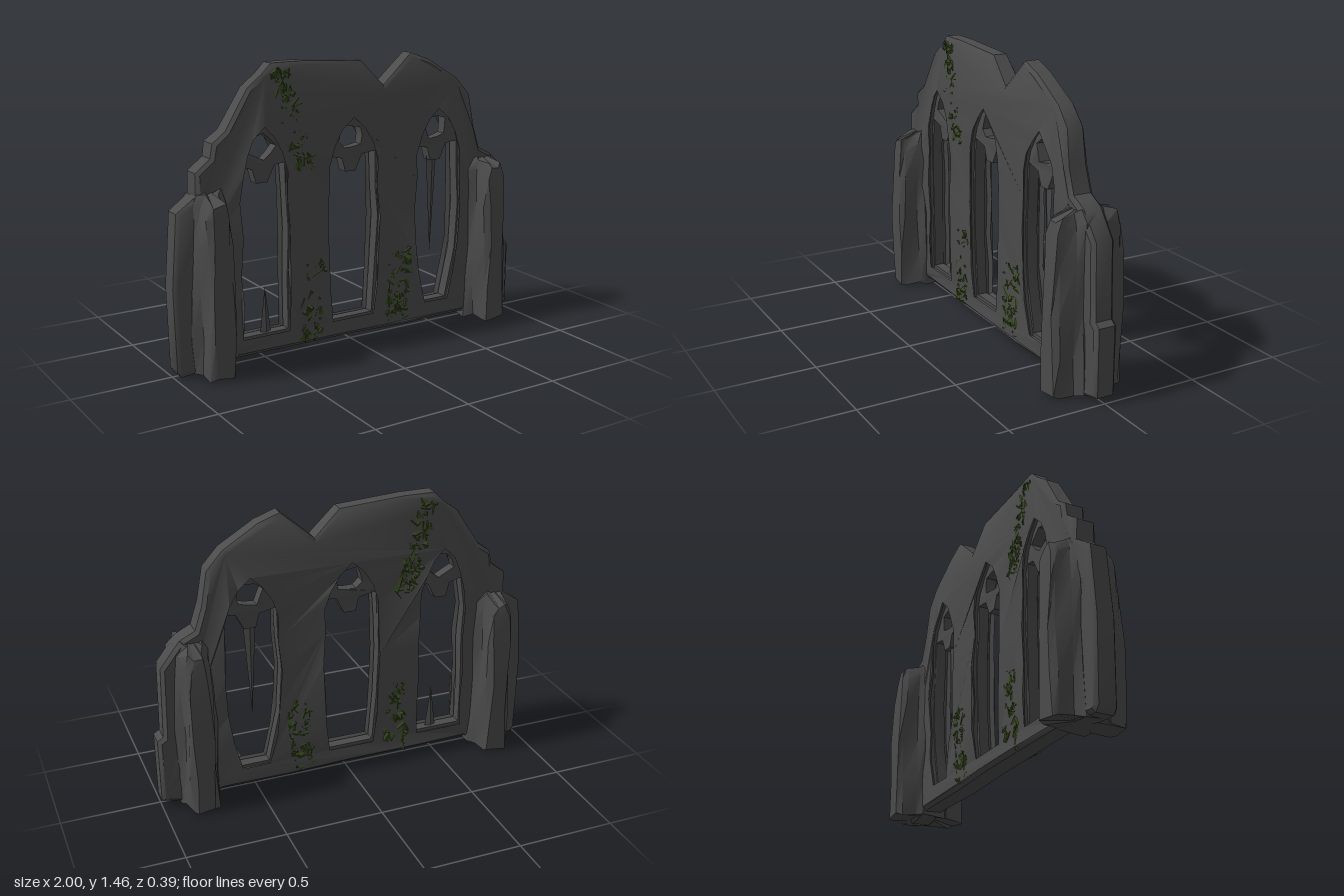
import * as THREE from 'three';
import { mergeGeometries, toCreasedNormals } from 'three/addons/utils/BufferGeometryUtils.js';

const stone = new THREE.MeshStandardMaterial({ color: 0x4b4b4b, side: THREE.DoubleSide });
const moss = new THREE.MeshStandardMaterial({ color: 0x384a20, side: THREE.DoubleSide });

function seeded(seed) {
  return () => {
    seed = (seed * 16807) % 2147483647;
    return seed / 2147483647;
  };
}
const rough = (x, y, s) => Math.sin(x * 23 + s * 4) * Math.cos(y * 17 + s * 2);
const { smoothstep } = THREE.MathUtils;

// Slab centred on z = 0, with worn faces that thin out towards the top
function slab(name, outline, holes, half, bevel) {
  const shape = new THREE.Shape(outline);
  holes.forEach((h) => shape.holes.push(new THREE.Path(h)));
  const geo = new THREE.ExtrudeGeometry(shape, {
    depth: 2 * (half - bevel), bevelEnabled: bevel > 0,
    bevelThickness: bevel, bevelSize: bevel, bevelOffset: -bevel, bevelSegments: 1,
  });
  geo.translate(0, 0, bevel - half);
  const p = geo.attributes.position;
  for (let i = 0; i < p.count; i++) {
    const x = p.getX(i), y = p.getY(i), z = p.getZ(i);
    const taper = 1 - 0.22 * smoothstep(y, 1.15, 1.45);
    p.setZ(i, z * taper * (0.94 + 0.12 * rough(x, y, Math.sign(z))));
  }
  const mesh = new THREE.Mesh(toCreasedNormals(geo, 0.7), stone);
  mesh.name = name;
  return mesh;
}

// Ruined skyline, running from the lower left over the top to the lower right
const skyline = [
  [-0.97, 0.01], [-0.99, 0.04], [-1, 0.45], [-0.97, 0.81], [-0.87, 0.88], [-0.87, 0.99], [-0.79, 1.05],
  [-0.78, 1.12], [-0.71, 1.17], [-0.59, 1.36], [-0.51, 1.42], [-0.46, 1.47], [-0.3, 1.47], [0.04, 1.45],
  [0.17, 1.32], [0.34, 1.47], [0.45, 1.43], [0.63, 1.32], [0.71, 1.23], [0.74, 1.06], [0.78, 0.94],
  [0.86, 0.9], [0.96, 0.77], [0.97, 0.4], [1, 0.38], [1, 0.04], [0.86, 0.01], [0.68, 0.04],
  [0.3, 0.04], [0, 0.05], [-0.3, 0.05], [-0.68, 0.05], [-0.86, 0.02],
].map(([x, y]) => new THREE.Vector2(x, y));

// Window centre, half width at sill and at spring, and the height of a stump left on the sill
const windows = [
  { x: -0.515, sill: 0.145, spring: 0.145, stump: 0.37 },
  { x: -0.015, sill: 0.14, spring: 0.165, stump: 0 },
  { x: 0.505, sill: 0.09, spring: 0.158, stump: 0 },
];

// Half width of an opening: widening jambs, then a pointed arch with its apex at y = 1.2
function halfWidth(w, y) {
  const jamb = THREE.MathUtils.lerp(w.sill, w.spring, smoothstep(y, 0.13, 0.45));
  return jamb * Math.pow(1 - THREE.MathUtils.clamp((y - 0.85) / 0.35, 0, 1) ** 2, 0.7);
}

// One jamb edge point, slightly worn
const edge = (w, side, y, grow) =>
  new THREE.Vector2(w.x + side * (halfWidth(w, y) + grow) + 0.008 * rough(w.x + side, y, 1), y);

function archOutline(w, grow) {
  const heights = [0.12, 0.3, 0.45, 0.65, 0.82, 0.95, 1.05, 1.13];
  return [
    ...heights.map((y) => edge(w, -1, y, grow)),
    new THREE.Vector2(w.x, 1.2 + grow),
    ...heights.reverse().map((y) => edge(w, 1, y, grow)),
  ];
}

// Tall light below the tracery bar, with the bar's broken stub hanging into it
function lightOutline(w) {
  const heights = [0.138, 0.4, 0.65, 0.82, 0.99];
  const stub = [[-0.05, 0.97], [-0.03, 0.9], [0.03, 0.9], [0.045, 0.93], [0.07, 0.98]];
  return [
    ...heights.map((y) => edge(w, -1, y, -0.01)),
    ...stub.map(([dx, y]) => new THREE.Vector2(w.x + dx, y)),
    ...heights.reverse().map((y) => edge(w, 1, y, -0.01)),
  ];
}

// Ragged eye in the head of the arch
const eyeOutline = (w) => Array.from({ length: 9 }, (_, i) => {
  const a = (i / 9) * Math.PI * 2, r = 1 + 0.15 * Math.sin(i * 2.6 + w.x * 9);
  return new THREE.Vector2(w.x + 0.07 * r * Math.cos(a), 1.075 + 0.06 * r * Math.sin(a));
});

// Flat splinter of a lost mullion, from its root to its tip
function splinter(name, x, root, tip, width) {
  const geo = new THREE.ConeGeometry(width, Math.abs(tip - root), 4);
  if (tip < root) geo.rotateZ(Math.PI);
  const mesh = new THREE.Mesh(toCreasedNormals(geo, 0.5), stone);
  mesh.scale.z = 0.4;
  mesh.position.set(x, (root + tip) / 2, 0);
  mesh.name = name;
  return mesh;
}

// Cross-shaped pier lofted through rings, with a top that slopes up to the wall
function buttress(side) {
  const quarter = [[0.105, 0.06], [0.075, 0.09], [0.065, 0.165], [0.048, 0.19]];
  const half = [...quarter, ...quarter.map(([x, z]) => [-x, z]).reverse()];
  const plan = [...half, ...half.map(([x, z]) => [x, -z]).reverse()];
  const levels = [[0.015, 1, 0.99], [0.2, 1, 1], [0.42, 0.96, 1.02], [0.65, 0.93, 0.96], [0.79, 0.87, 0.91], [0.85, 0.5, 0.87]];
  const pos = [], idx = [], n = plan.length, cx = side * 0.805;
  levels.forEach(([y, sx, sz], k) => plan.forEach(([x, z], i) => {
    const wear = 0.01 * Math.sin(i * 2.3 + k * 1.7 + side);
    const rise = k > 3 ? 0.07 * (1 - Math.abs(z) / 0.19) : 0;
    pos.push(cx + x * sx + wear, y + rise + wear, z * sz);
  }));
  for (let k = 0; k < levels.length - 1; k++) {
    for (let i = 0; i < n; i++) {
      const a = k * n + i, b = k * n + ((i + 1) % n);
      idx.push(a, a + n, b, b, a + n, b + n);
    }
  }
  const top = (levels.length - 1) * n, mid = levels.length * n;
  pos.push(cx, 0.91, 0, cx, 0.04, 0);
  for (let i = 0; i < n; i++) {
    const j = (i + 1) % n;
    idx.push(mid, top + j, top + i, mid + 1, i, j);
  }
  const geo = new THREE.BufferGeometry();
  geo.setAttribute('position', new THREE.Float32BufferAttribute(pos, 3));
  geo.setIndex(idx);
  const mesh = new THREE.Mesh(toCreasedNormals(geo.toNonIndexed(), 0.6), stone);
  mesh.name = side > 0 ? 'leftButtress' : 'rightButtress';
  return mesh;
}

// Cluster of small leaf shards clinging to both faces along a line
function mossCluster(name, from, to, width, count, seed) {
  const rnd = seeded(seed), parts = [];
  for (let i = 0; i < count; i++) {
    const t = rnd();
    const leaf = new THREE.TetrahedronGeometry(0.02 + rnd() * 0.018);
    leaf.scale(1, 1, 0.4);
    leaf.rotateZ(rnd() * 6.3).rotateY((rnd() - 0.5) * 1.2);
    const y = from[1] + (to[1] - from[1]) * t;
    const z = (0.058 - 0.013 * smoothstep(y, 1.15, 1.45)) * (i % 2 ? 1 : -1);
    leaf.translate(from[0] + (to[0] - from[0]) * t + (rnd() - 0.5) * width, y, z);
    parts.push(leaf);
  }
  const mesh = new THREE.Mesh(mergeGeometries(parts), moss);
  mesh.name = name;
  return mesh;
}

export function createModel() {
  const group = new THREE.Group();
  group.name = 'ruinedWindowWall';
  group.add(slab('wall', skyline, windows.map((w) => archOutline(w, 0)), 0.065, 0.018));

  // Thin broken tracery set inside each arch
  windows.forEach((w, i) => {
    group.add(slab('tracery' + (i + 1), archOutline(w, 0.02), [lightOutline(w), eyeOutline(w)], 0.03, 0));
    if (w.stump) group.add(splinter('mullionStump', w.x + 0.02, 0.13, w.stump, 0.03));
  });
  group.add(splinter('hangingMullion', 0.5, 0.97, 0.4, 0.035));

  group.add(buttress(1), buttress(-1));
  group.add(
    mossCluster('upperMoss', [-0.42, 1.43], [-0.3, 0.95], 0.1, 150, 7),
    mossCluster('rightPillarMoss', [-0.27, 0.07], [-0.25, 0.48], 0.12, 90, 19),
    mossCluster('leftPillarMoss', [0.25, 0.07], [0.27, 0.46], 0.13, 120, 31),
  );
  return group;
}
